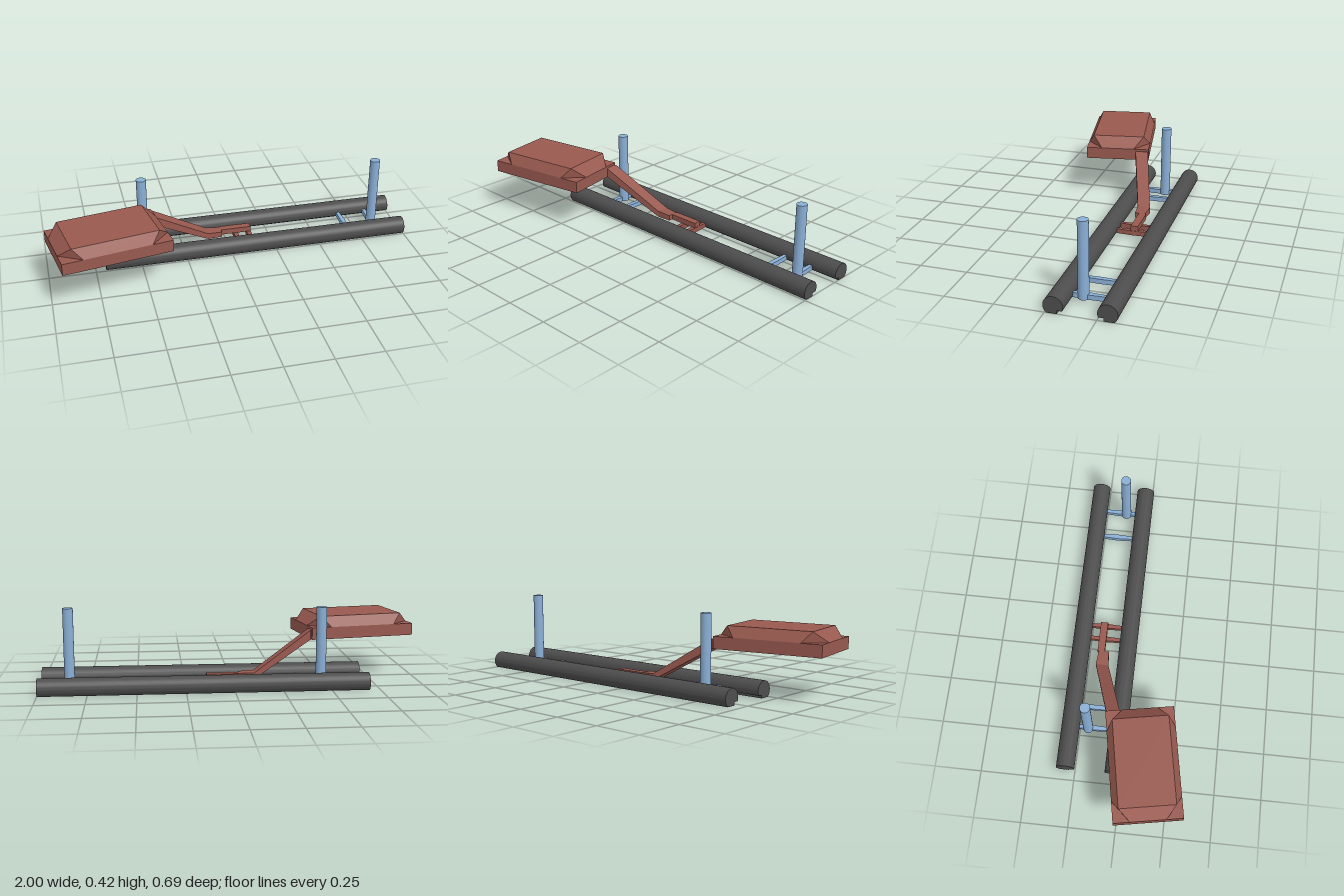
import * as THREE from 'three';
import { toCreasedNormals } from 'three/addons/utils/BufferGeometryUtils.js';
import { ConvexGeometry } from 'three/addons/geometries/ConvexGeometry.js';

const dark = new THREE.MeshStandardMaterial({ color: 0x4d4d4d });
const blue = new THREE.MeshStandardMaterial({ color: 0x8aafd6 });
const red = new THREE.MeshStandardMaterial({ color: 0x98594f, flatShading: true });

function add(parent, name, geometry, material, x = 0, y = 0, z = 0) {
  const mesh = new THREE.Mesh(geometry, material);
  mesh.name = name;
  mesh.position.set(x, y, z);
  parent.add(mesh);
  return mesh;
}

// Round rail with a flat foot and a step cut on its inner side (+1 or -1)
function railGeometry(side) {
  const r = 0.049, cy = 0.038, start = -0.443, end = Math.PI + 0.887;
  const points = [];
  for (let i = 0; i <= 32; i++) {
    const a = start + (end - start) * i / 32;
    points.push(new THREE.Vector2(side * r * Math.cos(a), cy + r * Math.sin(a)));
  }
  points.push(new THREE.Vector2(side * 0.019, 0), new THREE.Vector2(side * 0.019, 0.017));
  const geo = new THREE.ExtrudeGeometry(new THREE.Shape(points), { depth: 1.695, bevelEnabled: false });
  geo.rotateY(Math.PI / 2);
  return toCreasedNormals(geo, 0.5);
}

// Crossbar between the rails, a little wider in the middle
function barGeometry() {
  const shape = new THREE.Shape([
    [-0.009, -0.085], [0.009, -0.085], [0.013, 0], [0.009, 0.085], [-0.009, 0.085], [-0.013, 0],
  ].map(([x, z]) => new THREE.Vector2(x, z)));
  const geo = new THREE.ExtrudeGeometry(shape, { depth: 0.025, bevelEnabled: false });
  return geo.rotateX(-Math.PI / 2);
}

// Bar segment between two rectangular sections [x, zMin, zMax, yMin, yMax]
function segment(a, b) {
  const points = [];
  for (const [x, z0, z1, y0, y1] of [a, b])
    for (const z of [z0, z1])
      for (const y of [y0, y1]) points.push(new THREE.Vector3(x, y, z));
  return new ConvexGeometry(points);
}

export function createModel() {
  const model = new THREE.Group();
  model.name = 'railFrame';

  add(model, 'frontRail', railGeometry(1), dark, -0.695, 0, -0.041);
  add(model, 'backRail', railGeometry(-1), dark, -0.695, 0, -0.301);

  for (const x of [-0.46, -0.345, 0.69, 0.85])
    add(model, 'crossbar', barGeometry(), blue, x, 0.017, -0.171);
  for (const x of [0.055, 0.13])
    add(model, 'armCrossbar', barGeometry(), red, x, 0.017, -0.171);

  // Upright posts
  for (const [x, z] of [[-0.46, -0.206], [0.85, -0.139]])
    add(model, 'post', new THREE.CylinderGeometry(0.027, 0.027, 0.4, 32), blue, x, 0.217, z);

  // Arm rising from the rails to the pad
  const arm = new THREE.Group();
  arm.name = 'arm';
  model.add(arm);
  const sections = [
    [-0.5, -0.01, 0.06, 0.225, 0.276],
    [-0.42, -0.108, -0.035, 0.225, 0.276],
    [-0.11, -0.205, -0.136, 0.04, 0.073],
    [-0.03, -0.198, -0.142, 0.04, 0.07],
  ];
  for (let i = 0; i < sections.length - 1; i++)
    add(arm, 'armSegment', segment(sections[i], sections[i + 1]), red);
  add(arm, 'armFoot', segment([-0.03, -0.205, -0.165, 0.04, 0.07], [0.14, -0.205, -0.165, 0.04, 0.07]), red);

  // Pad: slab with a bevelled top whose corners are cut
  const pad = new THREE.Group();
  pad.name = 'pad';
  pad.position.set(-0.6825, 0, 0.117);
  pad.rotation.y = 0.178;
  model.add(pad);
  const hx = 0.2895, hz = 0.178;
  add(pad, 'padBase', new THREE.BoxGeometry(hx * 2, 0.064, hz * 2), red, 0, 0.256, 0);
  const points = [];
  for (const sx of [-1, 1])
    for (const sz of [-1, 1])
      points.push(
        new THREE.Vector3(sx * 0.2285, 0.343, sz * 0.145),
        new THREE.Vector3(sx * (hx - 0.11), 0.288, sz * hz),
        new THREE.Vector3(sx * hx, 0.288, sz * (hz - 0.087)),
      );
  add(pad, 'padTop', new ConvexGeometry(points), red);

  return model;
}
